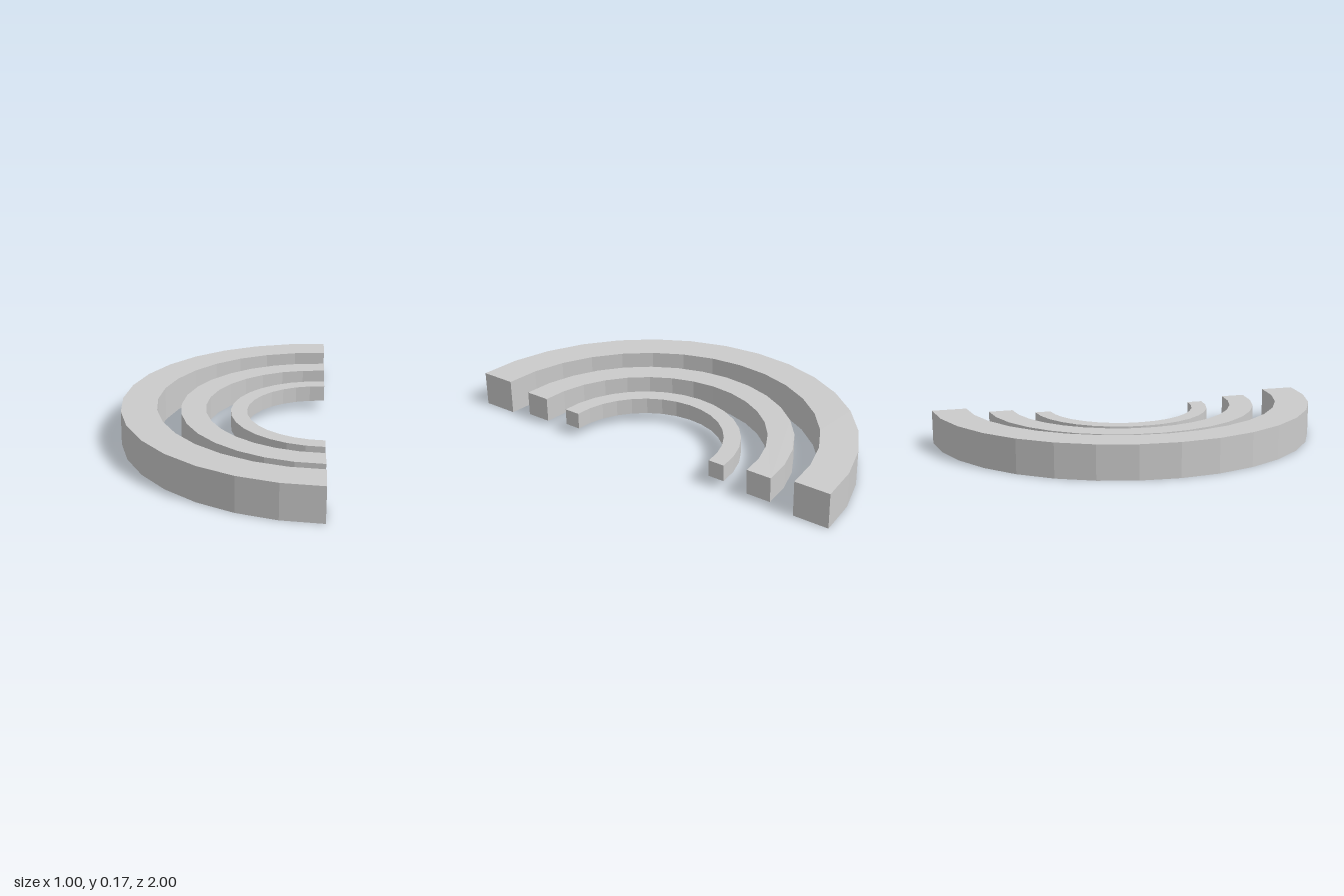
import * as THREE from 'three';

const SEGMENTS = 16;
const CENTER_X = 0.5;
const MID_Y = 0.085;

// Half ring of rectangular section, open towards +x
function halfRing(name, outer, inner, height) {
  const points = [];
  const addArc = (radius, reverse) => {
    for (let i = 0; i <= SEGMENTS; i++) {
      const t = (reverse ? SEGMENTS - i : i) / SEGMENTS;
      const a = Math.PI / 2 + Math.PI * t;
      points.push(new THREE.Vector2(radius * Math.cos(a), radius * Math.sin(a)));
    }
  };
  addArc(outer, false);
  addArc(inner, true);

  const geometry = new THREE.ExtrudeGeometry(new THREE.Shape(points), {
    depth: height, bevelEnabled: false,
  });
  geometry.rotateX(-Math.PI / 2);
  geometry.translate(CENTER_X, MID_Y - height / 2, 0);

  const material = new THREE.MeshStandardMaterial({ color: 0xcccccc, flatShading: true });
  const mesh = new THREE.Mesh(geometry, material);
  mesh.name = name;
  return mesh;
}

export function createModel() {
  const group = new THREE.Group();
  group.name = 'concentricArcs';
  // Three nested arcs, thinner and lower towards the middle
  group.add(
    halfRing('outerArc', 1.0, 0.825, 0.17),
    halfRing('middleArc', 0.708, 0.585, 0.12),
    halfRing('innerArc', 0.463, 0.383, 0.08),
  );
  return group;
}
